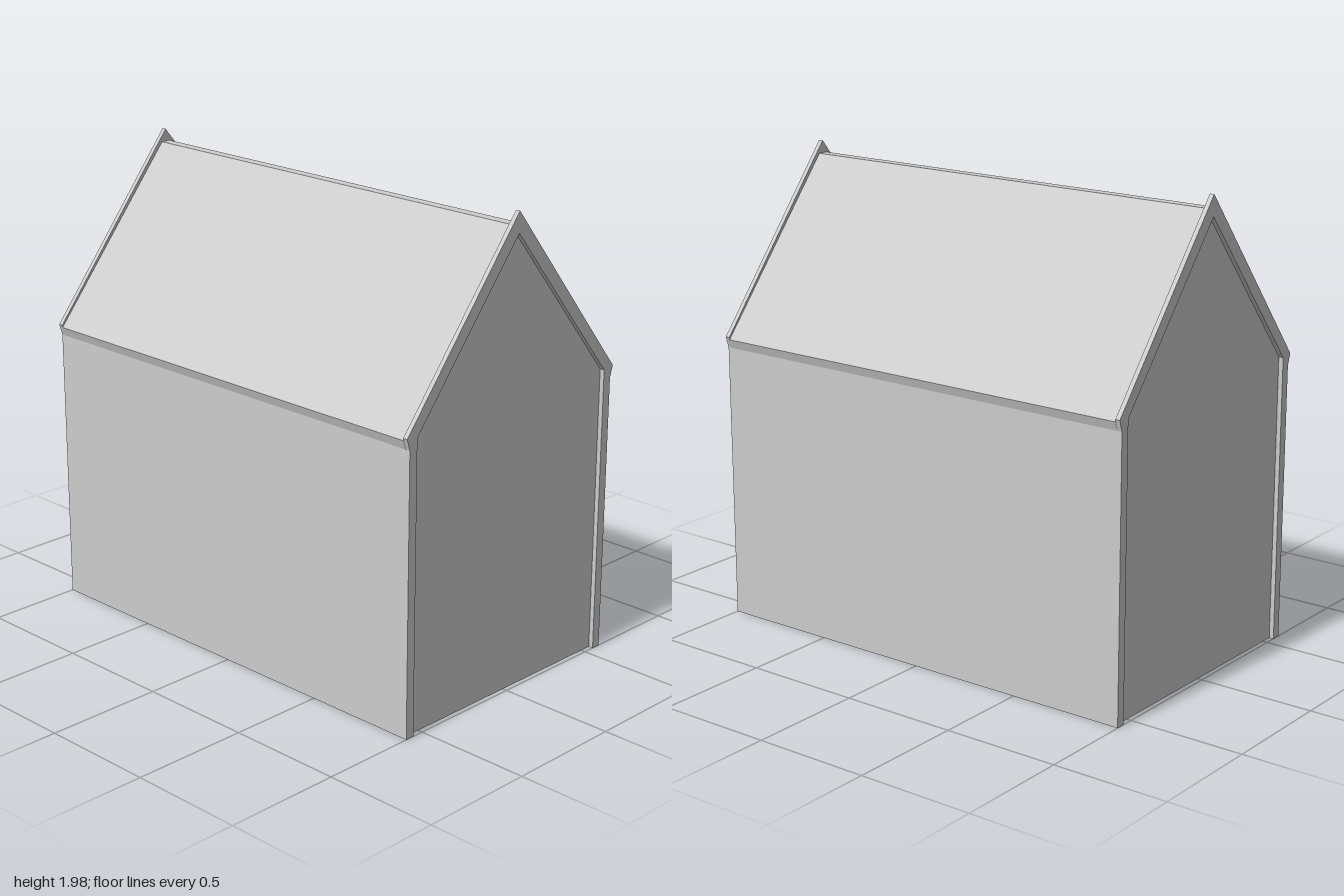
import * as THREE from 'three';

const INNER = 0.98;      // x of the recessed gable panels
const RIM = 0.02;        // thickness of the gable frames

function shapeOf(points) {
  return new THREE.Shape(points.map(([z, y]) => new THREE.Vector2(z, y)));
}

export function createModel() {
  const group = new THREE.Group();
  const grey = new THREE.MeshStandardMaterial({ color: 0xcccccc, side: THREE.DoubleSide });
  grey.name = 'plain grey';

  const add = (name, geometry, x = 0) => {
    const mesh = new THREE.Mesh(geometry, grey);
    mesh.name = name;
    mesh.position.x = x;
    group.add(mesh);
  };

  // Flat sheet running the length of the house between two profile points (z, y)
  const sheet = ([z0, y0], [z1, y1]) => {
    const a = [-INNER, y0, z0], b = [INNER, y0, z0];
    const c = [INNER, y1, z1], d = [-INNER, y1, z1];
    const geometry = new THREE.BufferGeometry();
    geometry.setAttribute('position',
      new THREE.Float32BufferAttribute([a, b, c, a, c, d].flat(), 3));
    geometry.computeVertexNormals();
    return geometry;
  };

  // Walls, eaves, roof slopes and flat ridge, from front to back; open underneath
  const half = [[0.59, 0], [0.59, 1.18], [0.603, 1.218], [0.022, 1.922]];
  const profile = [...half, ...half.map(([z, y]) => [-z, y]).reverse()];
  const names = ['frontWall', 'frontEave', 'frontRoof', 'ridge', 'backRoof', 'backEave', 'backWall'];
  names.forEach((name, i) => add(name, sheet(profile[i], profile[i + 1])));

  // Gable frames standing slightly proud of the roof, open at the foot
  const frame = shapeOf([
    [0.59, 0], [0.59, 1.18], [0.605, 1.228], [0, 1.975], [-0.605, 1.228], [-0.59, 1.18], [-0.59, 0],
    [-0.55, 0], [-0.55, 1.22], [0, 1.888], [0.55, 1.22], [0.55, 0],
  ]);
  const frameGeometry = new THREE.ExtrudeGeometry(frame, { depth: RIM, bevelEnabled: false });
  frameGeometry.rotateY(Math.PI / 2);
  add('leftGableFrame', frameGeometry, INNER);
  add('rightGableFrame', frameGeometry, -INNER - RIM);

  // Recessed gable panels
  const panel = shapeOf([[-0.55, 0], [0.55, 0], [0.55, 1.22], [0, 1.888], [-0.55, 1.22]]);
  for (const side of [1, -1]) {
    const geometry = new THREE.ShapeGeometry(panel);
    geometry.rotateY(side * Math.PI / 2);
    add(side > 0 ? 'leftGablePanel' : 'rightGablePanel', geometry, side * INNER);
  }
  return group;
}
